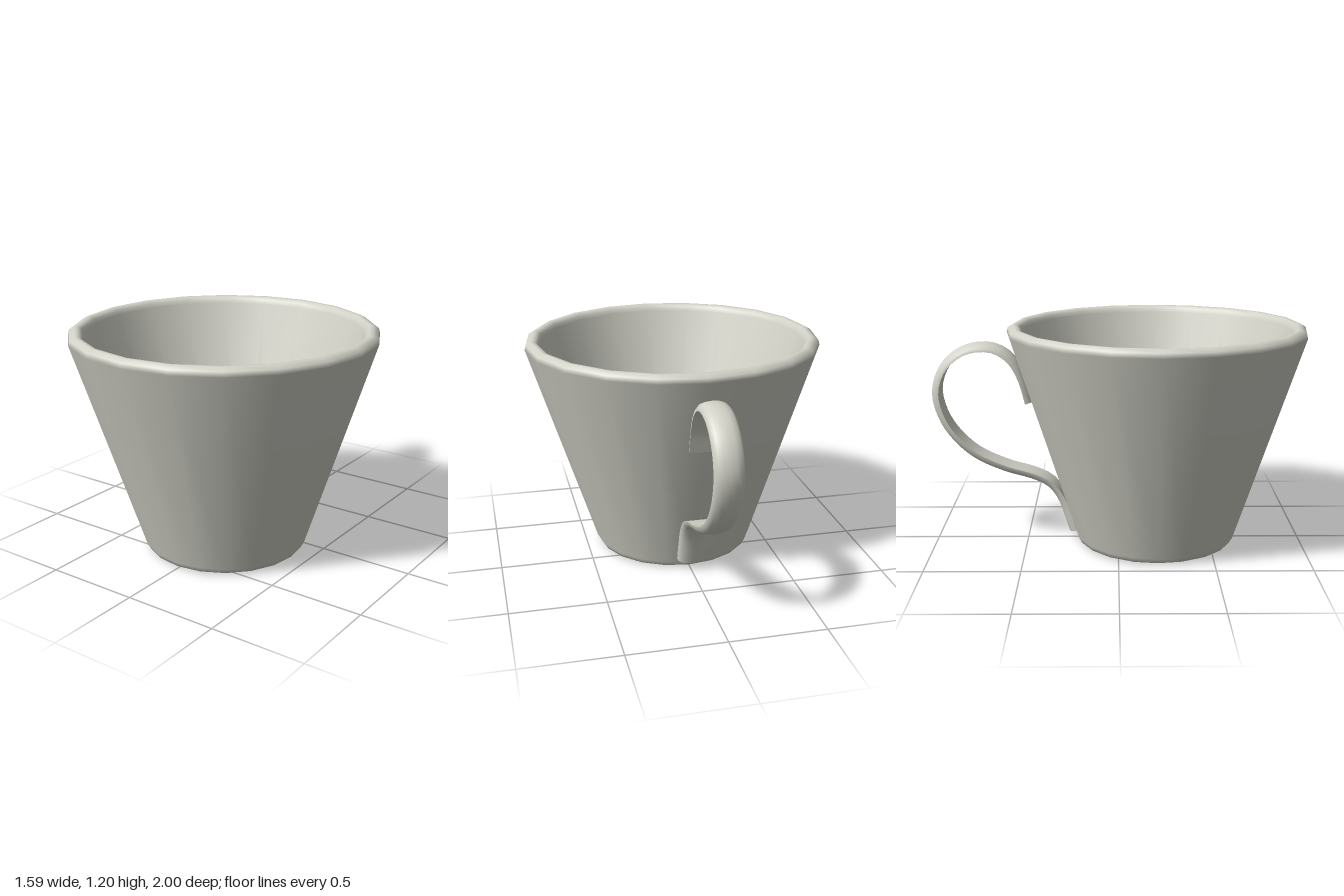
import * as THREE from 'three';

const SIDES = 20;
const CUP_Z = 0.205;

const lathe = (pts) =>
  new THREE.LatheGeometry(pts.map(([r, y]) => new THREE.Vector2(r, y)), SIDES);

// Sweeps a strap along a [z, y] path: crowned outer face, flat inner face, capped ends
function strapGeometry(path, steps) {
  const curve = new THREE.CatmullRomCurve3(path.map(([z, y]) => new THREE.Vector3(0, y, z)));
  const half = [[-0.073, -0.022], [-0.07, -0.005], [-0.055, 0.011], [-0.03, 0.019]];
  const crown = [...half, [0, 0.022], ...half.map(([x, d]) => [-x, d]).reverse()];
  const flat = [[0.073, -0.022], [-0.073, -0.022]];
  const pos = [], index = [];

  const ring = (section, u) => {
    const p = curve.getPointAt(u), t = curve.getTangentAt(u);
    const start = pos.length / 3;
    for (const [x, d] of section) pos.push(x, p.y - t.z * d, p.z + t.y * d);
    return start;
  };

  for (const section of [crown, flat]) {
    let prev = ring(section, 0);
    for (let i = 1; i <= steps; i++) {
      const next = ring(section, i / steps);
      for (let j = 0; j < section.length - 1; j++) {
        index.push(prev + j, prev + j + 1, next + j);
        index.push(prev + j + 1, next + j + 1, next + j);
      }
      prev = next;
    }
  }
  for (const u of [0, 1]) {
    const s = ring(crown, u);
    for (let j = 1; j < crown.length - 1; j++) {
      if (u) index.push(s, s + j, s + j + 1);
      else index.push(s, s + j + 1, s + j);
    }
  }

  const geo = new THREE.BufferGeometry();
  geo.setAttribute('position', new THREE.Float32BufferAttribute(pos, 3));
  geo.setIndex(index);
  geo.computeVertexNormals();
  return geo;
}

export function createModel() {
  const group = new THREE.Group();
  const ceramic = new THREE.MeshStandardMaterial({ color: 0xd2d2c8 });
  ceramic.name = 'warm grey ceramic';

  const add = (name, geometry, z = 0) => {
    const mesh = new THREE.Mesh(geometry, ceramic);
    mesh.name = name;
    mesh.position.z = z;
    group.add(mesh);
    return mesh;
  };

  // Base, flared wall, rounded rim and inner wall
  add('cupBody', lathe([
    [0, 0], [0.395, 0], [0.422, 0.012], [0.438, 0.04],
    [0.795, 1.155], [0.789, 1.18], [0.762, 1.196],
    [0.742, 1.194], [0.725, 1.182], [0.717, 1.16], [0.333, 0.04],
  ]), CUP_Z);

  // Flat inside bottom
  add('cupFloor', lathe([[0.333, 0.04], [0, 0.04]]), CUP_Z);

  // Ear-shaped strap handle at the back
  add('handle', strapGeometry([
    [-0.475, 0.78], [-0.51, 0.91], [-0.565, 1.01], [-0.64, 1.065],
    [-0.725, 1.08], [-0.83, 1.055], [-0.93, 0.97], [-0.977, 0.84],
    [-0.95, 0.7], [-0.88, 0.585], [-0.77, 0.485], [-0.61, 0.41],
    [-0.46, 0.365], [-0.375, 0.322], [-0.315, 0.245], [-0.25, 0.055],
  ], 48));

  return group;
}
